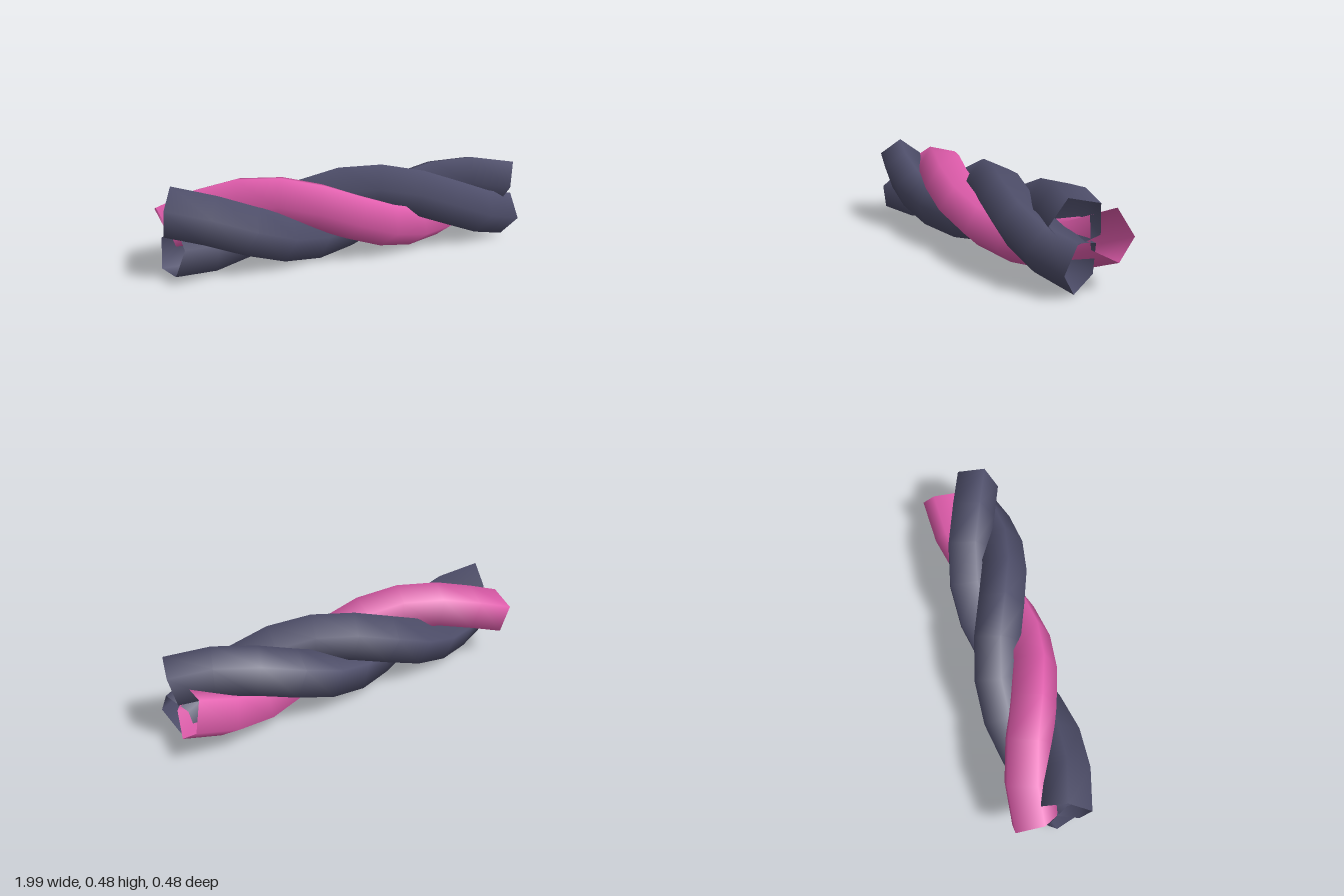
import * as THREE from 'three';

const AXIS_Y = 0.24;      // height of the rope axis
const HALF_LENGTH = 0.95;
const HELIX_RADIUS = 0.115;
const STRAND_RADIUS = 0.13;
const PITCH = 1.82;       // length of one full turn

// Centre line of one strand, winding around the x axis
class StrandCurve extends THREE.Curve {
  constructor(phase) {
    super();
    this.phase = phase;
  }
  getPoint(t, target = new THREE.Vector3()) {
    const x = (2 * t - 1) * HALF_LENGTH;
    const a = (x / PITCH) * Math.PI * 2 + this.phase;
    return target.set(x, AXIS_Y - HELIX_RADIUS * Math.sin(a), HELIX_RADIUS * Math.cos(a));
  }
}

export function createModel() {
  const group = new THREE.Group();
  group.name = 'twistedRope';

  // Open tubes, so both sides are visible
  const pink = new THREE.MeshStandardMaterial({ color: 0xe05cac, side: THREE.DoubleSide });
  pink.name = 'pink';
  const slate = new THREE.MeshStandardMaterial({ color: 0x4f4f6b, side: THREE.DoubleSide });
  slate.name = 'slate';

  // Three five-sided strands a third of a turn apart
  [['pinkStrand', pink], ['slateStrandA', slate], ['slateStrandB', slate]].forEach(([name, material], i) => {
    const curve = new StrandCurve((i * Math.PI * 2) / 3);
    const strand = new THREE.Mesh(new THREE.TubeGeometry(curve, 10, STRAND_RADIUS, 5, false), material);
    strand.name = name;
    group.add(strand);
  });

  return group;
}
